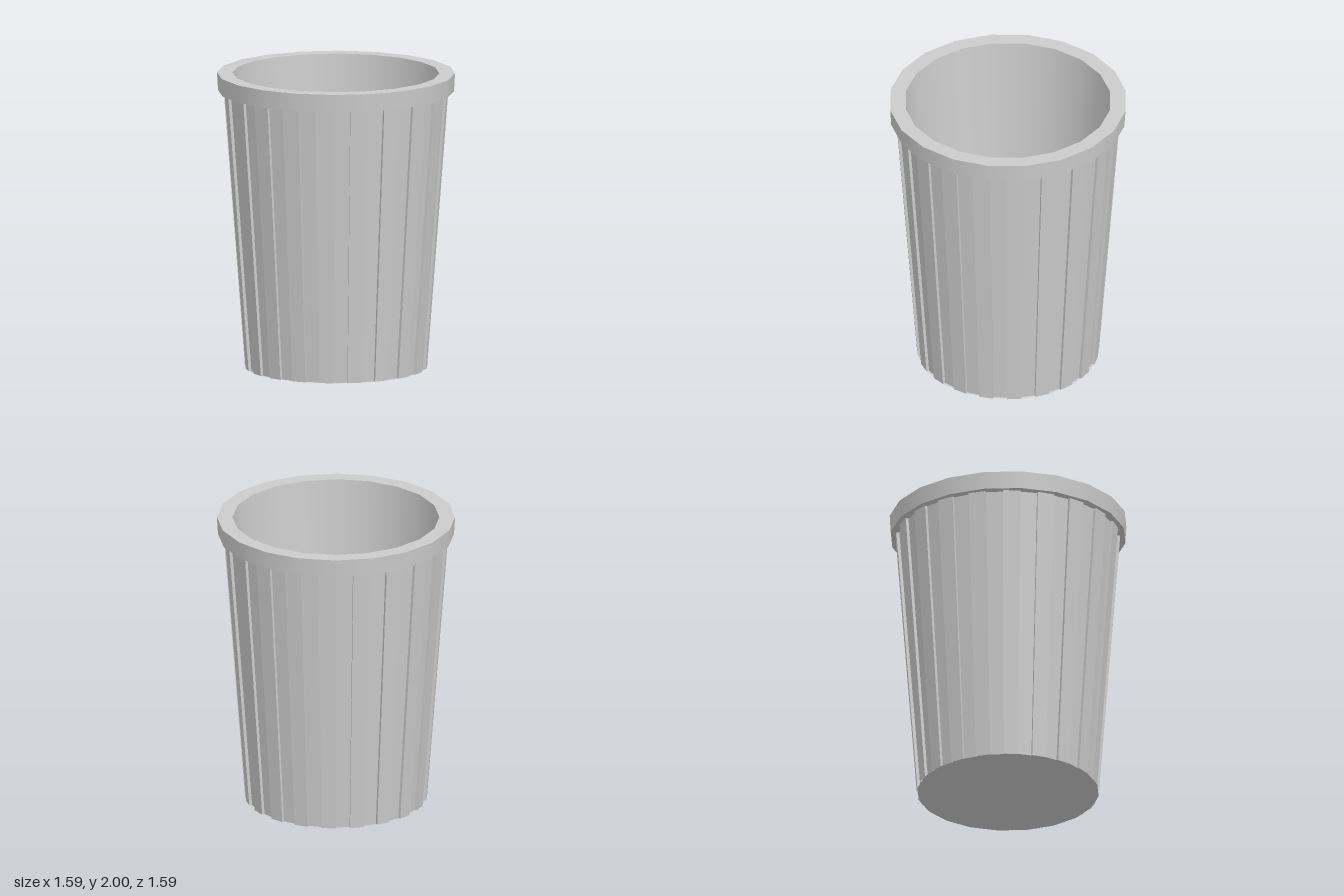
import * as THREE from 'three';
import { mergeGeometries } from 'three/addons/utils/BufferGeometryUtils.js';

const SIDES = 20;
const material = new THREE.MeshStandardMaterial({ color: 0xcccccc, side: THREE.DoubleSide });

// One lathed band per profile segment, so corners between bands stay sharp
function bands(name, profile) {
  const parts = [];
  for (let i = 0; i < profile.length - 1; i++) {
    const pair = [profile[i], profile[i + 1]].map(([r, y]) => new THREE.Vector2(r, y));
    parts.push(new THREE.LatheGeometry(pair, SIDES));
  }
  const mesh = new THREE.Mesh(mergeGeometries(parts), material);
  mesh.name = name;
  return mesh;
}

// Tapered wall: flat slats, alternately recessed and raised, joined by step faces
function ribbedWall() {
  const slats = SIDES * 2, step = (Math.PI * 2) / slats, depth = 0.02;
  const bottom = 0.61, top = 0.752, height = 1.88;
  const outline = [];
  for (let k = 0; k < slats; k++) {
    const inset = k % 2 === 0 ? depth : 0;
    outline.push([inset, k * step], [inset, (k + 1) * step]);
  }
  const positions = [];
  const corner = ([inset, a], r, y) => [(r - inset) * Math.sin(a), y, (r - inset) * Math.cos(a)];
  outline.forEach((p, i) => {
    const q = outline[(i + 1) % outline.length];
    const a = corner(p, bottom, 0), b = corner(q, bottom, 0);
    const c = corner(q, top, height), d = corner(p, top, height);
    positions.push(...a, ...b, ...c, ...a, ...c, ...d);
  });
  const geometry = new THREE.BufferGeometry();
  geometry.setAttribute('position', new THREE.Float32BufferAttribute(positions, 3));
  geometry.computeVertexNormals();
  const mesh = new THREE.Mesh(geometry, material);
  mesh.name = 'ribbedWall';
  return mesh;
}

export function createModel() {
  const bin = new THREE.Group();
  bin.name = 'wasteBin';
  bin.add(
    ribbedWall(),
    bands('base', [[0, 0], [0.61, 0]]),
    bands('rim', [[0.7, 1.88], [0.79, 1.88], [0.797, 2], [0.692, 2]]),
    bands('innerLining', [[0.692, 2], [0.56, 0.1], [0, 0.1]]),
  );
  return bin;
}
